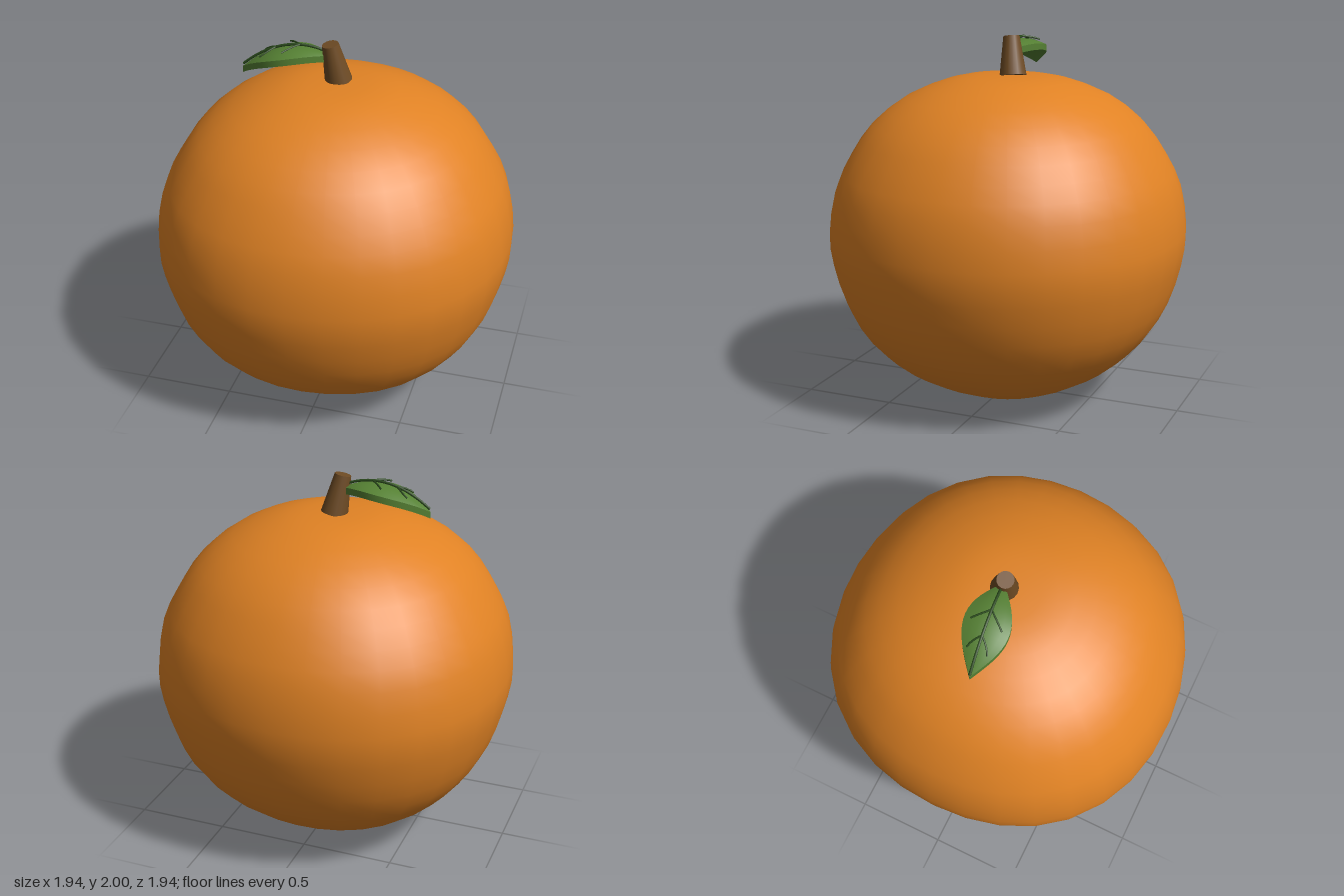
import * as THREE from 'three';
import { mergeVertices, toCreasedNormals } from 'three/addons/utils/BufferGeometryUtils.js';

const orange = new THREE.MeshStandardMaterial({ color: 0xe08224 });
orange.name = 'orange peel';
const brown = new THREE.MeshStandardMaterial({ color: 0x6e4b24 });
brown.name = 'stem brown';
const green = new THREE.MeshStandardMaterial({ color: 0x558033 });
green.name = 'leaf green';
const darkGreen = new THREE.MeshStandardMaterial({ color: 0x2a4a1c });
darkGreen.name = 'vein green';

function part(name, geometry, material) {
  const mesh = new THREE.Mesh(geometry, material);
  mesh.name = name;
  return mesh;
}

// Fruit: turned profile with slight uneven lobes around the axis
function fruitGeometry() {
  const profile = new THREE.SplineCurve([
    [0, 0.005], [0.15, 0.012], [0.33, 0.05], [0.6, 0.19], [0.78, 0.36], [0.89, 0.55], [0.955, 0.77], [0.972, 0.95],
    [0.935, 1.18], [0.85, 1.36], [0.73, 1.53], [0.55, 1.67], [0.33, 1.76], [0.16, 1.787], [0, 1.79],
  ].map(([r, y]) => new THREE.Vector2(r, y)));
  const points = profile.getPoints(28);
  points[0].x = points[28].x = 0;
  let geo = new THREE.LatheGeometry(points, 32);
  const pos = geo.attributes.position;
  for (let i = 0; i < pos.count; i++) {
    const x = pos.getX(i), z = pos.getZ(i), a = Math.atan2(z, x);
    const f = 1.012 - 0.012 * Math.cos(4 * a) - 0.008 * Math.cos(a) + 0.008 * Math.cos(3 * a);
    pos.setX(i, x * f);
    pos.setZ(i, z * f);
  }
  geo.deleteAttribute('uv');
  geo.deleteAttribute('normal');
  geo = mergeVertices(geo, 1e-4);
  geo.computeVertexNormals();
  return geo;
}

// Leaf top surface: t runs from stem to tip, s across from -1 to 1
const leafWidth = (t) => 0.12 * Math.sin(Math.PI * Math.min(1, 0.06 + 0.94 * t));
function leafPoint(t, s, lift = 0) {
  const w = leafWidth(t);
  return new THREE.Vector3(
    -0.06 - 0.45 * t,
    1.935 + 0.18 * t - 0.285 * t * t - 0.025 * s * s * w / 0.12 + lift,
    -0.015 + 0.045 * t + s * w,
  );
}

function leafGeometry() {
  const rows = 16, across = 6, ring = 2 * (across + 1);
  const vertices = [], index = [];
  for (let i = 0; i <= rows; i++) {
    for (let k = 0; k < ring; k++) {
      const top = k <= across;
      const s = (top ? k : ring - 1 - k) / across * 2 - 1;
      vertices.push(...leafPoint(i / rows, s, top ? 0 : -0.035).toArray());
    }
  }
  for (let i = 0; i < rows; i++) {
    for (let k = 0; k < ring; k++) {
      const a = i * ring + k, c = i * ring + (k + 1) % ring;
      index.push(a, a + ring, c, c, a + ring, c + ring);
    }
  }
  const geo = new THREE.BufferGeometry();
  geo.setAttribute('position', new THREE.Float32BufferAttribute(vertices, 3));
  geo.setIndex(index);
  return toCreasedNormals(geo, 0.7);
}

// Vein: thin tube that follows the leaf between two (t, s) places
function vein(name, t0, s0, t1, s1, radius) {
  const path = [];
  for (let i = 0; i <= 8; i++) {
    const u = i / 8;
    path.push(leafPoint(t0 + (t1 - t0) * u, s0 + (s1 - s0) * u, 0.012));
  }
  return part(name, new THREE.TubeGeometry(new THREE.CatmullRomCurve3(path), 16, radius, 6), darkGreen);
}

export function createModel() {
  const model = new THREE.Group();
  model.name = 'fruit';
  model.add(part('fruitBody', fruitGeometry(), orange));

  // Leaning, tapered stem
  const base = new THREE.Vector3(-0.002, 1.785, -0.032);
  const tip = new THREE.Vector3(-0.04, 1.992, -0.007);
  const axis = tip.clone().sub(base);
  const stem = part('stem', new THREE.CylinderGeometry(0.044, 0.073, axis.length(), 16), brown);
  stem.position.copy(base).add(tip).multiplyScalar(0.5);
  stem.quaternion.setFromUnitVectors(new THREE.Vector3(0, 1, 0), axis.normalize());
  model.add(stem);

  // Leaf with midrib and paired side veins
  const leaf = new THREE.Group();
  leaf.name = 'leaf';
  leaf.add(part('leafBlade', leafGeometry(), green));
  leaf.add(vein('midrib', 0, 0, 0.99, 0, 0.007));
  for (const side of [-1, 1]) {
    for (const [t, reach] of [[0.31, 0.17], [0.6, 0.16]]) {
      leaf.add(vein('sideVein', t, 0, t + reach, side * 0.7, 0.005));
    }
  }
  model.add(leaf);
  return model;
}
